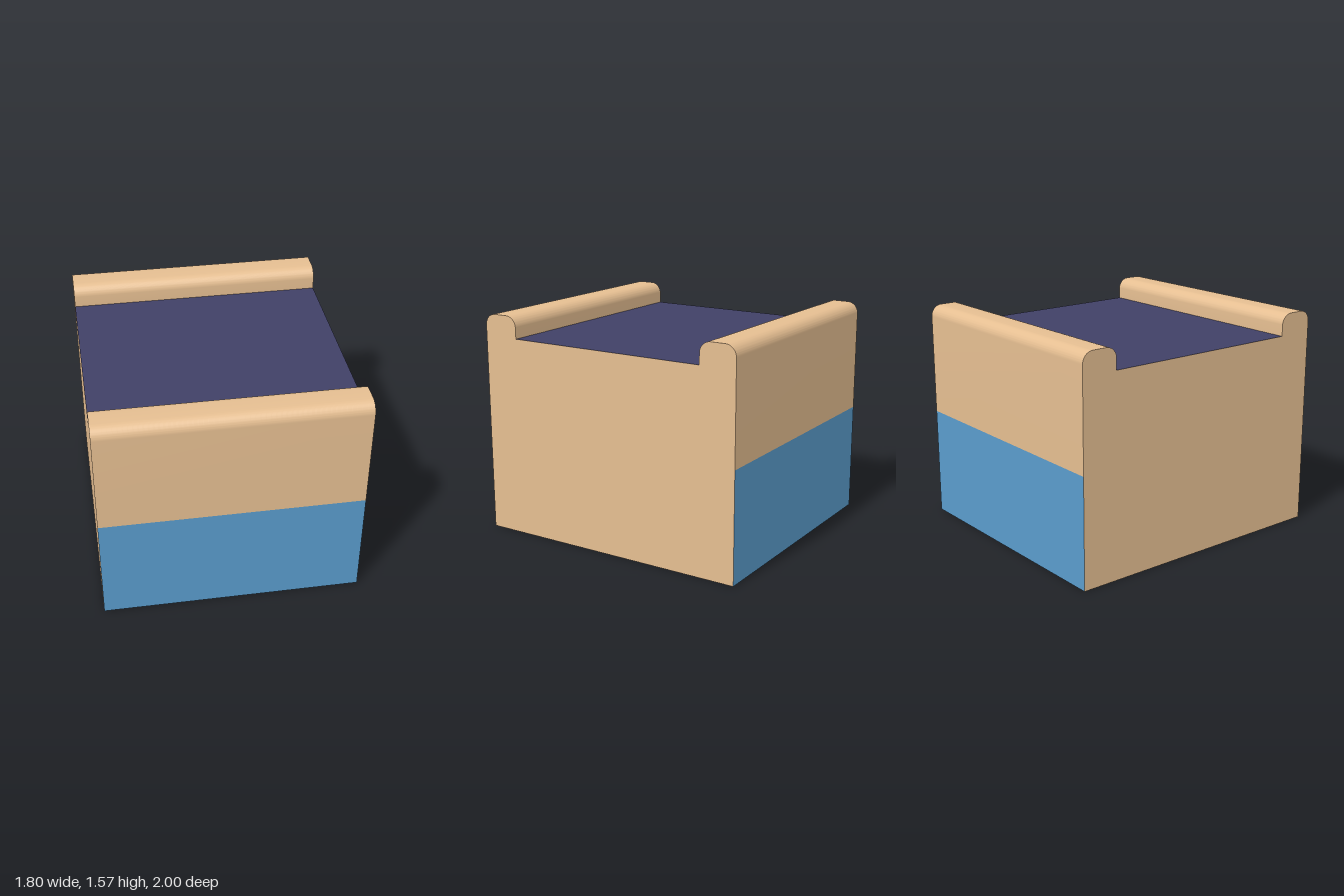
import * as THREE from 'three';
import { toCreasedNormals } from 'three/addons/utils/BufferGeometryUtils.js';

const W = 1.804, H = 1.573, ROOF = 1.418, BAND = 0.78, INNER = 0.737, R = 0.08;

// Side outline: block with a rounded parapet along the front and back edges
function profile() {
  const s = new THREE.Shape();
  const q = Math.PI / 2;
  s.moveTo(-1, 0);
  s.lineTo(1, 0);
  s.lineTo(1, BAND);
  s.lineTo(1, H - R);
  s.absarc(1 - R, H - R, R, 0, q, false);
  s.lineTo(INNER + R, H);
  s.absarc(INNER + R, H - R, R, q, 2 * q, false);
  s.lineTo(INNER, ROOF);
  s.lineTo(-INNER, ROOF);
  s.lineTo(-INNER, H - R);
  s.absarc(-INNER - R, H - R, R, 0, q, false);
  s.lineTo(-1 + R, H);
  s.absarc(-1 + R, H - R, R, q, 2 * q, false);
  s.lineTo(-1, BAND);
  s.closePath();
  return s;
}

// Which part a triangle belongs to, from its three corners
function partOf(corners) {
  const near = (a, b) => Math.abs(a - b) < 1e-4;
  if (corners.every(v => near(v.y, ROOF))) return 'roofDeck';
  const onFrontOrBack = [-1, 1].some(z => corners.every(v => near(v.z, z)));
  if (onFrontOrBack && corners.every(v => v.y < BAND + 1e-4)) return 'lowerPanels';
  return 'walls';
}

export function createModel() {
  const materials = {
    walls: new THREE.MeshStandardMaterial({ name: 'tan', color: 0xe5be91 }),
    lowerPanels: new THREE.MeshStandardMaterial({ name: 'blue', color: 0x5a9ccc }),
    roofDeck: new THREE.MeshStandardMaterial({ name: 'navy', color: 0x404066 }),
  };

  let block = new THREE.ExtrudeGeometry(profile(), { depth: W, bevelEnabled: false, curveSegments: 10 });
  block.translate(0, 0, -W / 2);
  block.rotateY(Math.PI / 2);
  block = toCreasedNormals(block, 0.5);

  // Split the block's faces into one mesh per colour
  const pos = block.attributes.position, nor = block.attributes.normal;
  const parts = {};
  for (const name in materials) parts[name] = { p: [], n: [] };
  for (let i = 0; i < pos.count; i += 3) {
    const ids = [i, i + 1, i + 2];
    const part = parts[partOf(ids.map(k => new THREE.Vector3().fromBufferAttribute(pos, k)))];
    for (const k of ids) {
      part.p.push(pos.getX(k), pos.getY(k), pos.getZ(k));
      part.n.push(nor.getX(k), nor.getY(k), nor.getZ(k));
    }
  }

  const group = new THREE.Group();
  group.name = 'building';
  for (const name in parts) {
    const g = new THREE.BufferGeometry();
    g.setAttribute('position', new THREE.Float32BufferAttribute(parts[name].p, 3));
    g.setAttribute('normal', new THREE.Float32BufferAttribute(parts[name].n, 3));
    const mesh = new THREE.Mesh(g, materials[name]);
    mesh.name = name;
    group.add(mesh);
  }
  return group;
}
